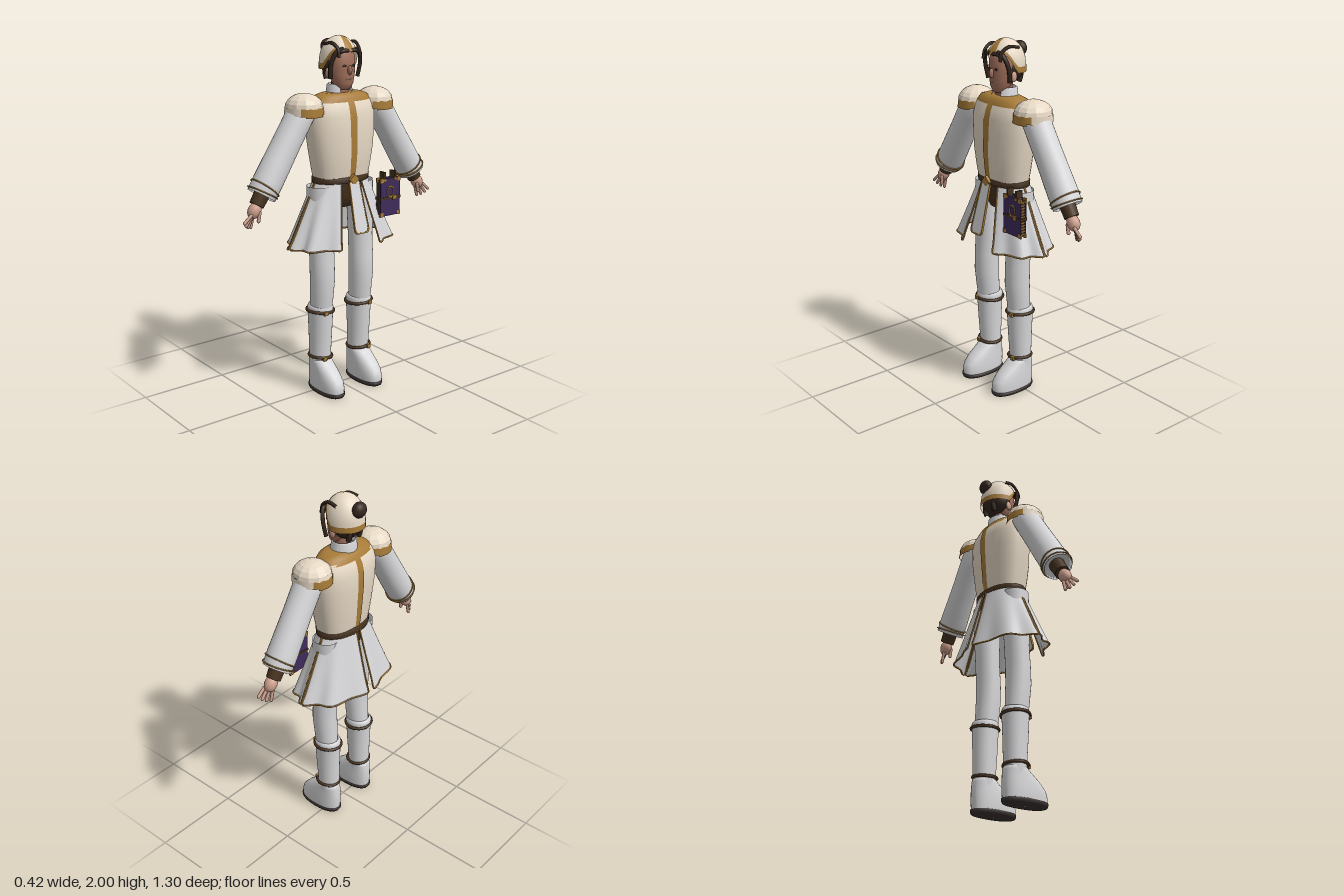
import * as THREE from 'three';
import { mergeVertices } from 'three/addons/utils/BufferGeometryUtils.js';

const mat = (name, color, extra = {}) => Object.assign(new THREE.MeshStandardMaterial({ color, ...extra }), { name });
const PI = Math.PI;

export function createModel() {
  const root = new THREE.Group();
  root.name = 'robedFigure';
  const D = { side: THREE.DoubleSide };
  const white = mat('white cloth', 0xd6d6d8, D);
  const cream = mat('cream armour', 0xe8dac6, D);
  const gold = mat('gold trim', 0xa87c38, D);
  const leather = mat('dark leather', 0x46321f);
  const hair = mat('hair', 0x35261d);
  const skin = mat('hand skin', 0xcd9f8c);
  const face = mat('face skin', 0xa06f5b);
  const purple = mat('purple cover', 0x3f2c5c);
  const sole = mat('sole', 0x3a3230);

  const add = (name, geo, m, pos = [0, 0, 0], parent = root) => {
    const mesh = new THREE.Mesh(geo, m);
    mesh.name = name;
    mesh.position.set(...pos);
    parent.add(mesh);
    return mesh;
  };
  // Surface from a rule; u runs round from +x to +z, v runs upward
  const grid = (fn, nu, nv) => {
    const p = [], idx = [];
    for (let j = 0; j <= nv; j++) for (let i = 0; i <= nu; i++) p.push(...fn(i / nu, j / nv));
    for (let j = 0; j < nv; j++) for (let i = 0; i < nu; i++) {
      const a = j * (nu + 1) + i, b = a + nu + 1;
      idx.push(a, b, a + 1, a + 1, b, b + 1);
    }
    let g = new THREE.BufferGeometry();
    g.setAttribute('position', new THREE.Float32BufferAttribute(p, 3));
    g.setIndex(idx);
    g = mergeVertices(g, 1e-5);
    g.computeVertexNormals();
    return g;
  };
  // Rings are [y, centre x, radius x, radius z]
  const loft = (rings, { a0 = 0, a1 = 2 * PI, n = 28, pow = 1, grow = 0 } = {}) => grid((u, v) => {
    const [y, cx, rx, rz] = rings[Math.round(v * (rings.length - 1))];
    const a = a0 + (a1 - a0) * u, c = Math.cos(a), s = Math.sin(a);
    return [cx + (rx + grow) * Math.sign(c) * Math.abs(c) ** pow, y, (rz + grow) * Math.sign(s) * Math.abs(s) ** pow];
  }, n, rings.length - 1);
  const tube = (pts, r, n = 24, closed = false) => new THREE.TubeGeometry(
    new THREE.CatmullRomCurve3(pts.map(p => new THREE.Vector3(...p)), closed), n, r, 6, closed);
  const ball = (rx, ry, rz) => new THREE.SphereGeometry(1, 18, 12).scale(rx, ry, rz);

  // Breastplate with gold stripes and yoke
  const chest = [[1.22, .005, .1, .165], [1.3, .005, .112, .18], [1.4, .005, .12, .197], [1.5, 0, .122, .21],
    [1.58, -.002, .12, .213], [1.63, -.003, .108, .205], [1.665, -.002, .09, .185]];
  add('breastplate', loft(chest, { pow: .85, n: 32 }), cream);
  for (const [n, c] of [['frontStripe', 0], ['backStripe', PI]])
    add(n, loft(chest, { a0: c - .07, a1: c + .07, n: 6, pow: .85, grow: .004 }), gold);
  add('yoke', loft([[1.655, -.002, .096, .19], [1.685, 0, .084, .165], [1.7, 0, .06, .12], [1.705, 0, .001, .001]], { pow: .85, n: 32 }), gold);

  // Neck and open collar
  add('neck', new THREE.CylinderGeometry(.046, .05, .12, 20), face, [0, 1.73, 0]);
  add('collar', loft([[1.69, -.005, .07, .078], [1.74, -.008, .062, .07], [1.745, -.008, .056, .064]], { a0: .5, a1: 2 * PI - .5 }), white);

  // Head
  add('head', loft([[1.715, .035, .002, .002], [1.718, .035, .03, .035], [1.75, .025, .052, .058], [1.79, .014, .066, .072],
    [1.84, .01, .072, .078], [1.89, .01, .07, .077], [1.94, .005, .055, .06], [1.96, 0, .002, .002]]), face);
  add('nose', ball(.016, .026, .012), face, [.085, 1.822, 0]);
  add('mouth', ball(.006, .005, .022), skin, [.074, 1.773, 0]);
  add('backHair', ball(.085, .085, .088), hair, [-.025, 1.845, 0]);
  add('hairBun', ball(.034, .042, .044), hair, [-.108, 1.936, 0]);

  // Helmet cap: the rim rises over the brow
  const cap = (a0, a1, v0, v1, k, n) => grid((u, v) => {
    const a = a0 + (a1 - a0) * u, c = Math.cos(a);
    const rim = 1.825 + .095 * THREE.MathUtils.smoothstep(c, -.05, .65);
    const p0 = Math.asin((rim - 1.865) / .135), p = p0 + (PI / 2 - p0) * (v0 + (v1 - v0) * v);
    const r = p < 0 ? 1 : Math.cos(p);
    return [-.012 + .108 * k * r * c, 1.865 + .135 * k * Math.sin(p), .105 * k * r * Math.sin(a)];
  }, n, 10);
  add('helmet', cap(0, 2 * PI, 0, 1, 1, 32), cream);
  add('helmetRim', cap(0, 2 * PI, 0, .13, 1.02, 32), gold);
  add('helmetStripe', cap(-.3, .3, 0, .97, 1.012, 6), gold);

  for (const s of [1, -1]) {
    const side = s > 0 ? 'right' : 'left';
    add(side + 'Ear', ball(.018, .028, .01), skin, [0, 1.805, s * .083]);
    add(side + 'Eye', ball(.004, .006, .012), hair, [.078, 1.845, s * .03]);
    // Loose locks beside the face and over the cap
    add(side + 'Lock', tube([[.075, 1.935, s * .035], [.068, 1.92, s * .075], [.05, 1.86, s * .098], [.035, 1.78, s * .092]], .012), hair);
    add(side + 'BrowLock', tube([[.085, 1.925, s * .01], [.082, 1.925, s * .045], [.06, 1.9, s * .085]], .01), hair);
    add(side + 'CapLock', tube([[-.03, 1.958, s * .085], [.03, 1.965, s * .078], [.075, 1.935, s * .07], [.085, 1.89, s * .072]], .009), hair);
    add(side + 'NapeLock', tube([[-.075, 1.84, s * .04], [-.08, 1.8, s * .042], [-.07, 1.765, s * .04]], .014), hair);

    // Domed shoulder guard with gold front and back bands
    const dome = new THREE.SphereGeometry(1, 12, 5, 0, 2 * PI, 0, PI / 2).scale(.107, .075, .102).toNonIndexed();
    dome.computeVertexNormals();
    add(side + 'ShoulderGuard', dome, cream, [0, 1.637, s * .24]);
    for (let q = 0; q < 4; q++)
      add(side + 'ShoulderBand', new THREE.CylinderGeometry(.104, .106, .04, 6, 1, true, q * PI / 2 + PI / 4, PI / 2),
        q % 2 ? cream : gold, [0, 1.62, s * .24]);
    for (const f of [0, 1])
      add(side + 'ShoulderEdge', new THREE.CylinderGeometry(.108, .108, .014, 4, 1, true, PI / 4 + f * PI + .25, PI / 2 - .5),
        gold, [0, 1.598, s * .24]);

    // Arm hangs along local -y
    const arm = new THREE.Group();
    arm.name = side + 'Arm';
    arm.position.set(0, 1.64, s * .24);
    arm.rotation.x = -s * .567;
    root.add(arm);
    add('sleeve', loft([[-.5, 0, .002, .002], [-.5, 0, .074, .072], [-.522, 0, .08, .079], [-.44, 0, .081, .081], [-.34, 0, .077, .081],
      [-.22, 0, .075, .078], [-.1, 0, .076, .077], [0, 0, .076, .076], [.04, 0, .05, .05]]), white, [0, 0, 0], arm);
    for (const y of [-.505, -.478])
      add('cuffRing', new THREE.TorusGeometry(.084, .004, 6, 32).rotateX(PI / 2), gold, [0, y, 0], arm).rotation.x = s * (y < -.5 ? .05 : -.12);
    add('wristWrap', new THREE.CylinderGeometry(.044, .04, .09, 18), leather, [0, -.535, 0], arm);
    add('palm', ball(.034, .046, .036), skin, [.004, -.61, 0], arm);
    for (let i = 0; i < 4; i++) {
      const f = add('finger', new THREE.CapsuleGeometry(.009, .055, 3, 8), skin,
        [-.01 + i * .011, -.677 + Math.abs(i - 1.5) * .006, s * (-.026 + i * .017)], arm);
      f.rotation.x = -s * (i - 1.5) * .2;
    }
    add('thumb', new THREE.CapsuleGeometry(.01, .045, 3, 8), skin, [.028, -.63, -s * .028], arm).rotation.x = s * .4;

    // Leg, boot shaft, straps and shoe
    const leg = new THREE.Group();
    leg.name = side + 'Leg';
    leg.position.z = s * .138;
    root.add(leg);
    add('trouser', loft([[.48, .004, .064, .06], [.56, .01, .067, .066], [.66, .018, .07, .07], [.76, .016, .068, .071],
      [.88, .009, .067, .071], [1.05, .005, .075, .075], [1.2, 0, .075, .075]]), white, [0, 0, 0], leg);
    add('bootShaft', loft([[.13, -.008, .058, .058], [.2, -.008, .062, .061], [.35, -.004, .07, .065], [.48, -.003, .076, .07],
      [.5, -.003, .077, .072], [.515, -.003, .07, .066], [.516, -.003, .06, .058]]), white, [0, 0, 0], leg);
    for (const [y, r, tilt] of [[.48, .076, .07], [.205, .065, .09]]) {
      const strap = add('bootStrap', new THREE.TorusGeometry(r, .009, 8, 30).rotateX(PI / 2), leather, [-.004, y, 0], leg);
      strap.rotation.x = -s * tilt;
      add('strapBuckle', new THREE.BoxGeometry(.014, .022, .022), gold, [r, y, s * .02], leg);
    }
    const foot = [[.02, .053, .133, .064], [.05, .053, .135, .066], [.085, .047, .13, .065], [.12, .032, .114, .063],
      [.15, .014, .093, .06], [.172, 0, .076, .059], [.19, -.008, .064, .057], [.2, -.008, .04, .04]];
    add('shoe', loft(foot, { pow: .85 }), white, [0, 0, 0], leg);
    add('shoeSole', loft([[0, .053, .002, .002], [.001, .053, .133, .063], [.012, .053, .138, .069], [.024, .053, .138, .069], [.026, .053, .13, .06]],
      { pow: .85 }), sole, [0, 0, 0], leg);

    // Front and back skirt panels with soft folds and gold edging
    for (const [n, from, to] of [['Front', .4, 1.545], ['Back', 1.595, 3.07]]) {
      const at = (u, t) => {
        const a = from + (to - from) * u, w = 1 + .05 * t * Math.cos(u * 4 * PI);
        return [(.107 + .09 * t) * w * Math.cos(a), 1.23 - .36 * t, s * (.168 + .165 * t) * w * Math.sin(a)];
      };
      add(side + n + 'Skirt', grid((u, v) => at(s > 0 ? u : 1 - u, 1 - v), 28, 8), white);
      const path = [];
      for (let i = 0; i <= 6; i++) path.push(at(0, i / 6));
      for (let i = 1; i <= 20; i++) path.push(at(i / 20, 1));
      for (let i = 5; i >= 0; i--) path.push(at(1, i / 6));
      add(side + n + 'SkirtTrim', tube(path, .005, 90), gold);
    }
  }

  // Hips, belt and buckle
  add('hips', loft([[1.06, 0, .002, .002], [1.07, 0, .06, .1], [1.14, 0, .085, .145], [1.22, 0, .095, .16]]), leather);
  add('belt', loft([[1.212, .003, .103, .168], [1.216, .003, .114, .178], [1.244, .003, .116, .18], [1.25, .003, .103, .168]]), leather);
  add('buckle', new THREE.BoxGeometry(.018, .045, .045), gold, [.123, 1.235, 0]).rotation.x = PI / 4;

  // Hanging front flap with rounded end
  const flap = new THREE.Group();
  flap.name = 'frontFlap';
  flap.position.set(.125, 1.225, 0);
  flap.rotation.set(0, PI / 2, 0);
  root.add(flap);
  const outline = (c, w, h) => c.moveTo(-w * .75, 0).lineTo(w * .75, 0).lineTo(w, -h + .03)
    .quadraticCurveTo(w, -h, w - .025, -h).lineTo(-w + .025, -h).quadraticCurveTo(-w, -h, -w, -h + .03).closePath();
  const edge = outline(new THREE.Shape(), .049, .289);
  edge.holes.push(outline(new THREE.Path(), .042, .282));
  const plate = (n, sh, d, m) => add(n, new THREE.ExtrudeGeometry(sh, { depth: d, bevelEnabled: false }).translate(0, 0, -d / 2), m, [0, 0, 0], flap).rotation.x = -.26;
  plate('flapCloth', outline(new THREE.Shape(), .044, .284), .006, white);
  plate('flapTrim', edge, .012, gold);

  // Clasped book hung from the belt
  const book = new THREE.Group();
  book.name = 'beltBook';
  book.position.set(.125, 1.105, -.245);
  root.add(book);
  for (const x of [-.016, .016]) {
    add('bookCover', new THREE.BoxGeometry(.007, .215, .14), purple, [x, 0, 0], book);
    for (const y of [-1, 1]) for (const z of [-1, 1])
      add('bookCorner', new THREE.BoxGeometry(.01, .024, .022), gold, [x, y * .098, z * .062], book);
  }
  add('bookPages', new THREE.BoxGeometry(.026, .2, .128), leather, [0, 0, 0], book);
  for (let i = 0; i < 12; i++)
    add('bookBinding', new THREE.BoxGeometry(.03, .006, .01), gold, [0, -.088 + i * .016, -.064], book);
  add('bookStrap', new THREE.BoxGeometry(.044, .014, .146), leather, [0, -.005, 0], book);
  add('bookClasp', new THREE.BoxGeometry(.012, .024, .024), gold, [.022, -.005, -.025], book);
  add('bookRing', new THREE.TorusGeometry(.022, .004, 6, 20).rotateY(PI / 2).scale(1, 1.4, 1), gold, [.021, .03, 0], book);
  for (const z of [-.032, .042]) {
    add('hangingStrap', new THREE.BoxGeometry(.04, .06, .012), leather, [0, .115, z], book);
    add('strapStud', new THREE.BoxGeometry(.046, .012, .016), gold, [0, .1, z], book);
  }
  return root;
}
